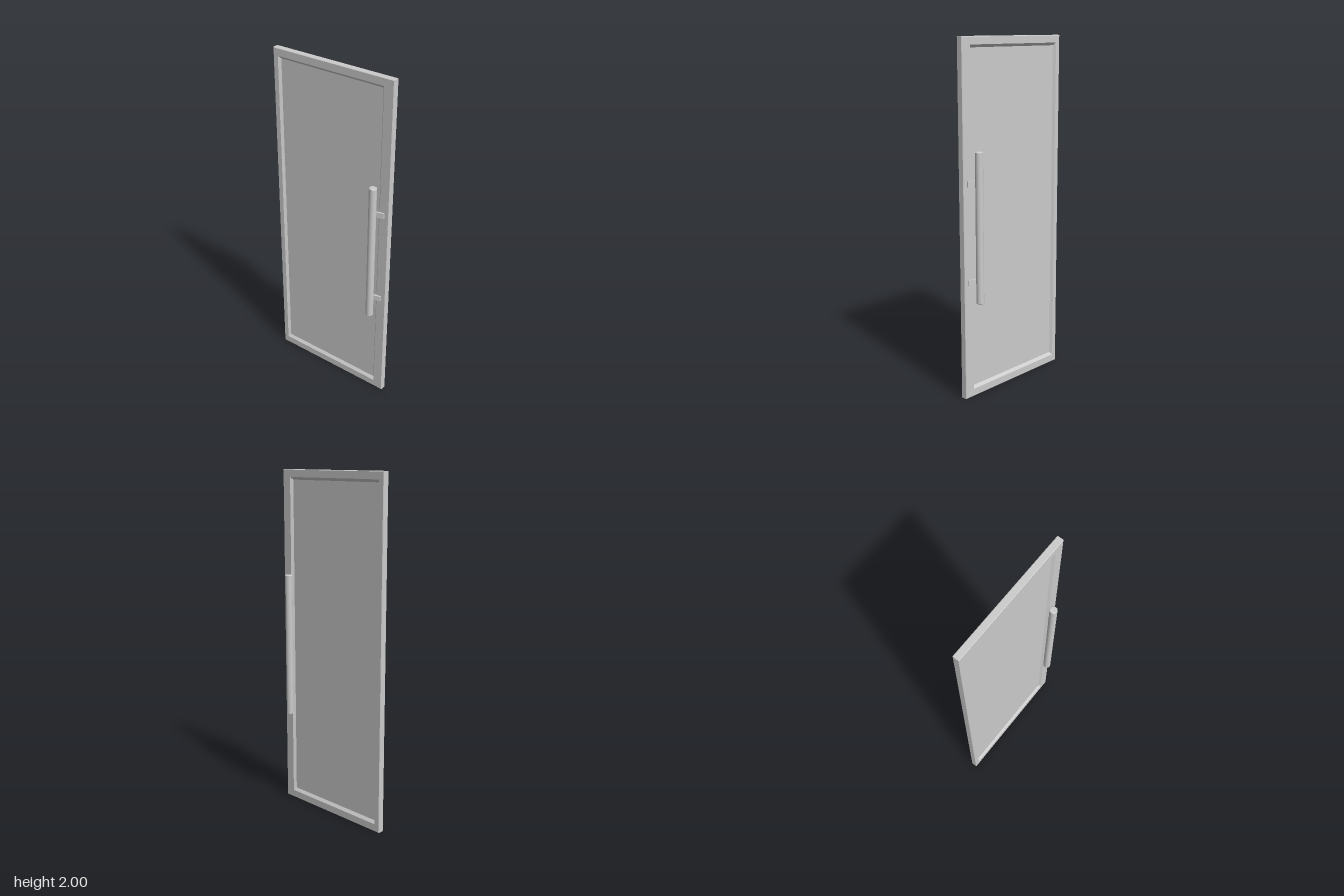
import * as THREE from 'three';

const grey = new THREE.MeshStandardMaterial({ color: 0xcccccc });

function add(parent, name, geometry, x = 0, y = 0, z = 0) {
  const mesh = new THREE.Mesh(geometry, grey);
  mesh.name = name;
  mesh.position.set(x, y, z);
  parent.add(mesh);
  return mesh;
}

// Joins rectangular rings [x0, x1, y0, y1, z] into a closed, flat-shaded frame
function ringFrame(rings) {
  const corners = ([x0, x1, y0, y1, z]) => [[x0, y0, z], [x1, y0, z], [x1, y1, z], [x0, y1, z]];
  const pos = [];
  rings.forEach((ring, r) => {
    const a = corners(ring);
    const b = corners(rings[(r + 1) % rings.length]);
    for (let i = 0; i < 4; i++) {
      const j = (i + 1) % 4;
      pos.push(...a[i], ...b[i], ...b[j], ...a[i], ...b[j], ...a[j]);
    }
  });
  const geometry = new THREE.BufferGeometry();
  geometry.setAttribute('position', new THREE.Float32BufferAttribute(pos, 3));
  geometry.computeVertexNormals();
  return geometry;
}

export function createModel() {
  const door = new THREE.Group();
  door.name = 'door';

  // Frame: wider stile on the handle side, sloped glazing bead, chamfered outer edges
  const w = 0.385, h = 2, t = 0.019, c = 0.003, glass = 0.005;
  const bead = (z) => [-0.342, 0.315, 0.06, 1.942, z];
  const opening = (z) => [-0.354, 0.327, 0.044, 1.957, z];
  const face = (z) => [-w + c, w - c, c, h - c, z];
  const edge = (z) => [-w, w, 0, h, z];
  add(door, 'frame', ringFrame([
    bead(glass), opening(t), face(t), edge(t - c),
    edge(c - t), face(-t), opening(-t), bead(-glass),
  ]));

  // Panel
  add(door, 'panel', new THREE.BoxGeometry(0.665, 1.89, 2 * glass), -0.0135, 1.001, 0);

  // Pull handles on both faces, each on two tapered brackets
  for (const [side, s, bottom] of [['front', 1, 0.57], ['back', -1, 0.56]]) {
    const handle = new THREE.Group();
    handle.name = side + 'Handle';
    door.add(handle);

    // Bar with slightly eased ends
    const r = 0.0217, e = 0.003, top = 1.402;
    const bar = new THREE.CylinderGeometry(r, r, top - bottom - 2 * e, 32, 1, true);
    const mid = (top + bottom) / 2;
    add(handle, 'bar', bar, 0.306, mid, s * 0.0575);
    add(handle, 'barTop', new THREE.CylinderGeometry(r - e, r, e, 32), 0.306, top - e / 2, s * 0.0575);
    add(handle, 'barBottom', new THREE.CylinderGeometry(r, r - e, e, 32), 0.306, bottom + e / 2, s * 0.0575);

    // Brackets
    const outline = [[0.31, 0.039], [0.358, 0.025], [0.358, 0.018], [0.343, 0.018], [0.31, 0.026]];
    const shape = new THREE.Shape(outline.map(([x, z]) => new THREE.Vector2(x, -s * z)));
    const bracket = new THREE.ExtrudeGeometry(shape, { depth: 0.032, bevelEnabled: false });
    bracket.rotateX(-Math.PI / 2);
    for (const y of [0.665, 1.215]) add(handle, 'bracket', bracket, 0, y, 0);
  }

  return door;
}
